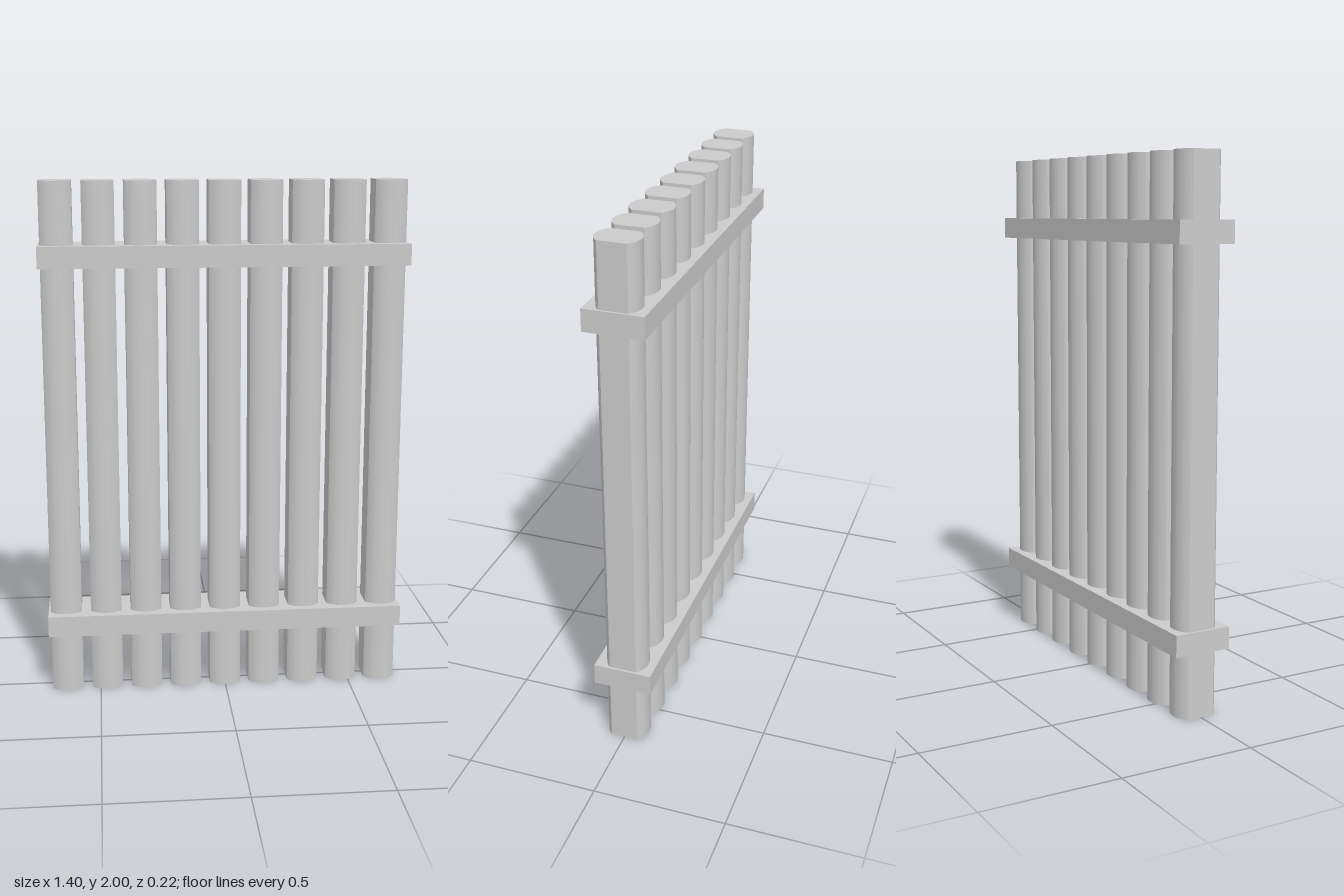
import * as THREE from 'three';
import { toCreasedNormals } from 'three/addons/utils/BufferGeometryUtils.js';

export function createModel() {
  const group = new THREE.Group();
  const material = new THREE.MeshStandardMaterial({ color: 0xcccccc });

  // Post section: a circle with its left and right sides cut flat
  const radius = 0.08, halfWidth = 0.061, height = 2;
  const angle = Math.acos(halfWidth / radius);
  const section = new THREE.Shape();
  section.absarc(0, 0, radius, angle, Math.PI - angle, false);
  section.absarc(0, 0, radius, Math.PI + angle, 2 * Math.PI - angle, false);
  section.closePath();

  const extruded = new THREE.ExtrudeGeometry(section, { depth: height, bevelEnabled: false, curveSegments: 12 });
  extruded.rotateX(-Math.PI / 2);
  const postGeometry = toCreasedNormals(extruded, 0.4);

  // Row of upright posts
  const count = 9, spacing = 0.1575;
  for (let i = 0; i < count; i++) {
    const post = new THREE.Mesh(postGeometry, material);
    post.name = `post${i + 1}`;
    post.position.x = (i - (count - 1) / 2) * spacing;
    group.add(post);
  }

  // Two cross rails around the posts
  const railGeometry = new THREE.BoxGeometry(1.4, 0.082, 0.222);
  for (const [name, y] of [['lowerRail', 0.282], ['upperRail', 1.723]]) {
    const rail = new THREE.Mesh(railGeometry, material);
    rail.name = name;
    rail.position.y = y;
    group.add(rail);
  }

  return group;
}
